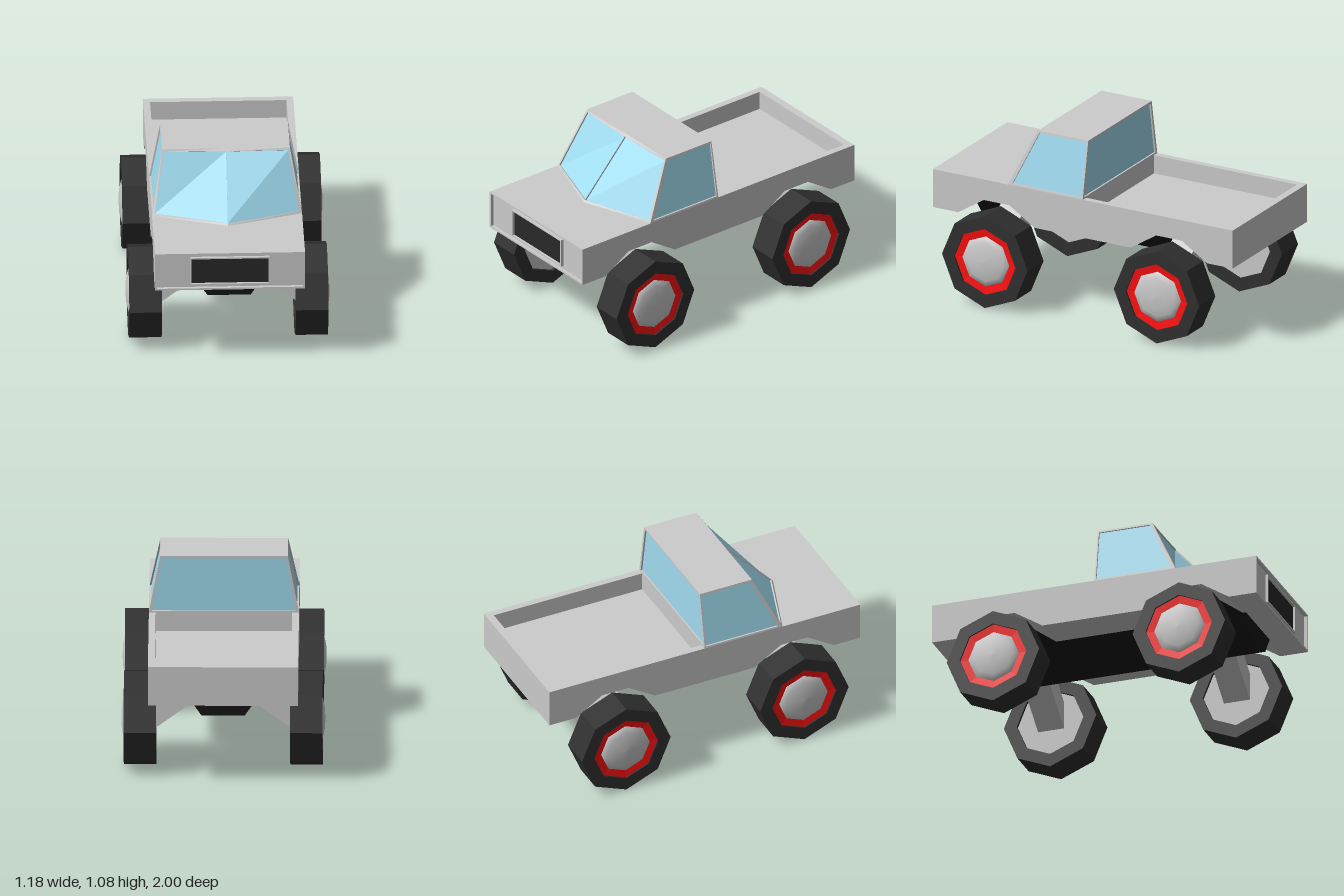
import * as THREE from 'three';

const mat = (color, extra = {}) => new THREE.MeshStandardMaterial({ color, ...extra });
const GREY = mat(0xcccccc, { flatShading: true });
const GLASS = mat(0xa0dcf0, { flatShading: true, side: THREE.DoubleSide });
const TYRE = mat(0x303030, { flatShading: true });
const BLACK = mat(0x141414, { flatShading: true });
const GRILLE = mat(0x282828, { flatShading: true });
const RED = mat(0xff1010, { flatShading: true });
const HUB = mat(0xcccccc);

const V = (x, y, z) => new THREE.Vector3(x, y, z);
const shapeOf = (pts) => new THREE.Shape(pts.map(([x, y]) => new THREE.Vector2(x, y)));

function add(parent, name, geometry, material) {
  const mesh = new THREE.Mesh(geometry, material);
  mesh.name = name;
  parent.add(mesh);
  return mesh;
}

function box(x0, x1, y0, y1, z0, z1) {
  return new THREE.BoxGeometry(x1 - x0, y1 - y0, z1 - z0)
    .translate((x0 + x1) / 2, (y0 + y1) / 2, (z0 + z1) / 2);
}

// Side profile given as [z, y], extruded across from x0 to x1
function acrossX(pts, x0, x1) {
  return new THREE.ExtrudeGeometry(shapeOf(pts), { depth: x1 - x0, bevelEnabled: false })
    .rotateY(-Math.PI / 2).translate(x1, 0, 0);
}

// Front profile given as [x, y], extruded from z0 to z1
function alongZ(shape, z0, z1) {
  return new THREE.ExtrudeGeometry(shape, { depth: z1 - z0, bevelEnabled: false }).translate(0, 0, z0);
}

function quads(list) {
  const pos = [];
  for (const [a, b, c, d] of list) for (const p of [a, b, c, a, c, d]) pos.push(p.x, p.y, p.z);
  const g = new THREE.BufferGeometry();
  g.setAttribute('position', new THREE.Float32BufferAttribute(pos, 3));
  g.computeVertexNormals();
  return g;
}

// Window: frame strips round a pane sunk by the recess vector
function addWindow(parent, name, corners, [u0, u1, v0, v1], recess) {
  const [a, b, c, d] = corners;
  const at = (u, v) => a.clone().lerp(b, u).lerp(d.clone().lerp(c, u), v);
  const inner = [at(u0, v0), at(u1, v0), at(u1, v1), at(u0, v1)];
  const pane = inner.map((p) => p.clone().add(recess));
  const strips = [];
  for (let i = 0; i < 4; i++) {
    const j = (i + 1) % 4;
    strips.push([corners[i], corners[j], inner[j], inner[i]], [inner[i], inner[j], pane[j], pane[i]]);
  }
  const group = new THREE.Group();
  group.name = name;
  add(group, name + 'Frame', quads(strips), GREY);
  add(group, name + 'Glass', quads([pane]), GLASS);
  parent.add(group);
}

function makeCab() {
  const cab = new THREE.Group();
  cab.name = 'cab';
  const y0 = 0.735, y1 = 1.08, w0 = 0.435, w1 = 0.37;
  const zSide = 0.5, zNose = 0.65, zRoof = 0.335;
  const nose = V(0, y0, zNose), brow = V(0, y1, zRoof);
  const base = (s, z) => V(s * w0, y0, z), top = (s, z) => V(s * w1, y1, z);

  add(cab, 'roof', quads([[top(-1, zRoof), top(1, zRoof), top(1, 0), top(-1, 0)]]), GREY);
  // Windscreen folded along its centre line
  const sink = V(0, -0.005, -0.008);
  addWindow(cab, 'windscreenRight', [base(-1, zSide), nose, brow, top(-1, zRoof)], [0.035, 1, 0.035, 0.96], sink);
  addWindow(cab, 'windscreenLeft', [nose, base(1, zSide), top(1, zRoof), brow], [0, 0.965, 0.035, 0.96], sink);
  addWindow(cab, 'sideWindowRight', [base(-1, 0), base(-1, zSide), top(-1, zRoof), top(-1, 0)],
    [0.02, 0.95, 0.03, 0.965], V(0.01, 0, 0));
  addWindow(cab, 'sideWindowLeft', [base(1, zSide), base(1, 0), top(1, 0), top(1, zRoof)],
    [0.05, 0.98, 0.03, 0.965], V(-0.01, 0, 0));
  addWindow(cab, 'rearWindow', [base(1, 0), base(-1, 0), top(-1, 0), top(1, 0)],
    [0.02, 0.98, 0.03, 0.96], V(0, 0, 0.01));
  return cab;
}

function makeBody() {
  const body = new THREE.Group();
  body.name = 'body';
  const arches = [[-0.83, 0.5], [-0.66, 0.608], [-0.49, 0.608], [-0.32, 0.5],
    [0.32, 0.5], [0.49, 0.608], [0.66, 0.608], [0.83, 0.5]];

  // Side panels with wheel arches
  const side = [[-1, 0.5], ...arches, [0.98, 0.5], [0.98, 0.735], [-1, 0.735]];
  add(body, 'leftPanel', acrossX(side, 0.395, 0.435), GREY);
  add(body, 'rightPanel', acrossX(side, -0.435, -0.395), GREY);
  // Bed floor stepping up to the bonnet
  add(body, 'bedAndBonnet', acrossX([[-0.955, 0.5], ...arches, [0.98, 0.5], [0.98, 0.735],
    [0, 0.735], [0, 0.622], [-0.955, 0.622]], -0.395, 0.395), GREY);
  add(body, 'tailgate', box(-0.395, 0.395, 0.5, 0.735, -1, -0.955), GREY);

  // Raised rims at the nose, round the front panel and the grille
  const rim = (w, y0, y1, t, z0, z1) => {
    const s = shapeOf([[-w, y0], [w, y0], [w, y1], [-w, y1]]);
    s.holes.push(new THREE.Path([[-w + t, y0 + t], [-w + t, y1 - t], [w - t, y1 - t], [w - t, y0 + t]]
      .map(([x, y]) => new THREE.Vector2(x, y))));
    return alongZ(s, z0, z1);
  };
  add(body, 'noseRim', rim(0.435, 0.5, 0.735, 0.011, 0.98, 1), GREY);
  add(body, 'grilleRim', rim(0.23, 0.53, 0.705, 0.008, 0.98, 0.998), GREY);
  add(body, 'grille', box(-0.222, 0.222, 0.538, 0.697, 0.975, 0.984), GRILLE);
  return body;
}

function makeWheel(name) {
  const wheel = new THREE.Group();
  wheel.name = name;
  const lathe = (pts) => new THREE.LatheGeometry(pts.map(([r, h]) => new THREE.Vector2(r, h)), 8);
  // Heights run outwards along the axle, measured from the truck's centre line
  add(wheel, 'tyre', lathe([[0.205, 0.388], [0.285, 0.388], [0.285, 0.576], [0.205, 0.576], [0.205, 0.388]]), TYRE);
  add(wheel, 'rimRing', lathe([[0.206, 0.566], [0.15, 0.56]]), RED);
  add(wheel, 'hubCap', lathe([[0.155, 0.55], [0.155, 0.565], [0.12, 0.577], [0.065, 0.588], [0, 0.591]]), HUB);
  add(wheel, 'innerDisc', lathe([[0, 0.405], [0.206, 0.405]]), GREY);
  return wheel;
}

export function createModel() {
  const model = new THREE.Group();
  model.name = 'pickupTruck';
  model.add(makeBody(), makeCab());

  // Tapered chassis beam
  const beam = shapeOf([[-0.125, 0.39], [0.125, 0.39], [0.258, 0.585], [-0.258, 0.585]]);
  add(model, 'chassis', alongZ(beam, -0.85, 0.85), BLACK);
  add(model, 'engineBlock', box(-0.2, 0.2, 0.58, 0.612, 0.42, 0.74), BLACK);

  // Wheels on sloping suspension arms
  for (const z of [0.573, -0.573]) {
    for (const s of [1, -1]) {
      const label = (z > 0 ? 'front' : 'rear') + (s > 0 ? 'Left' : 'Right');
      const wheel = makeWheel(label + 'Wheel');
      wheel.rotation.z = -s * Math.PI / 2;
      wheel.position.set(0, 0.286, z);
      model.add(wheel);
      const arm = shapeOf([[0.41, 0.235], [0.41, 0.4], [0.21, 0.555], [0.12, 0.45]].map(([x, y]) => [s * x, y]));
      add(model, label + 'Arm', alongZ(arm, z - 0.08, z + 0.08), GREY);
    }
  }
  return model;
}
